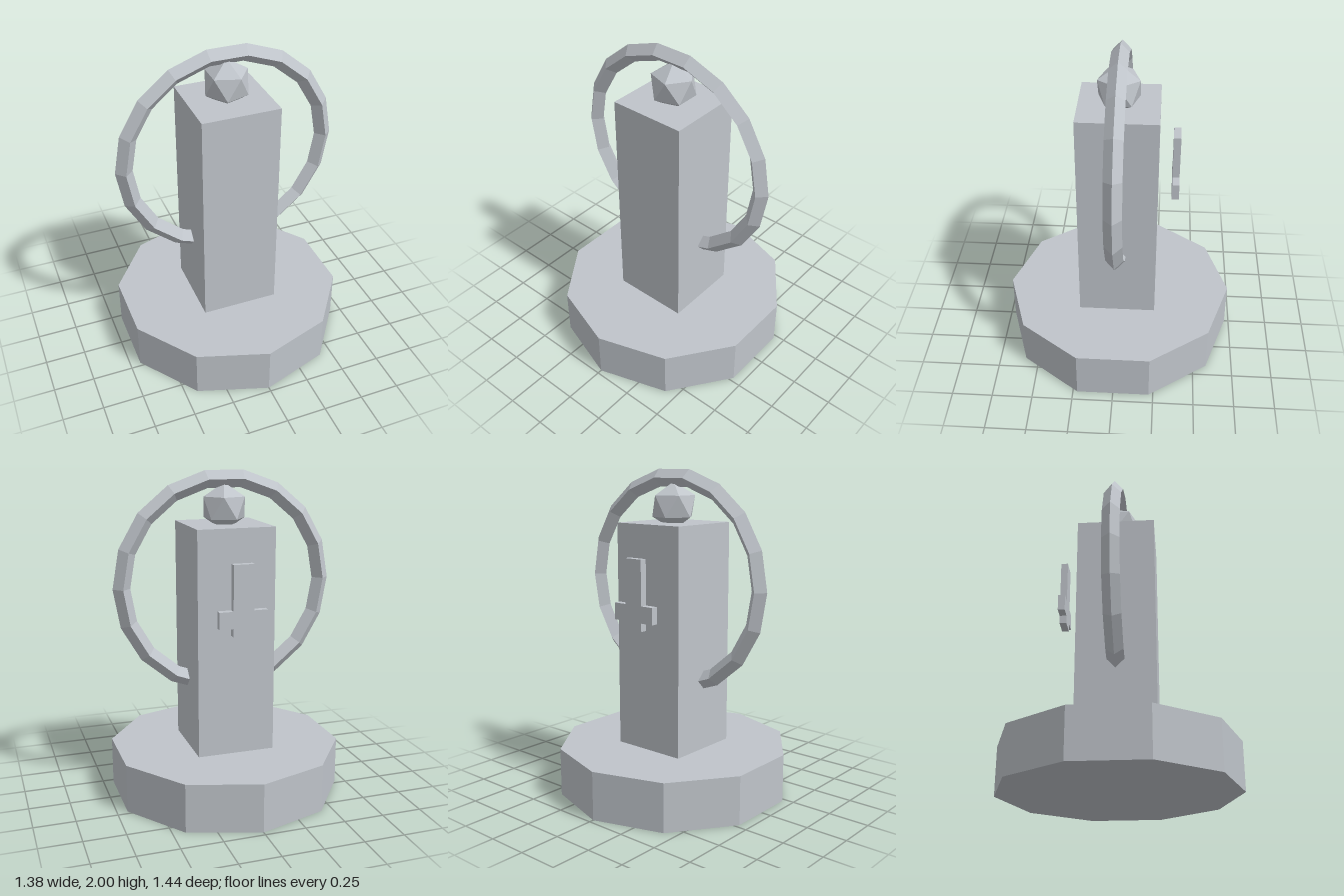
import * as THREE from 'three';

export function createModel() {
  const model = new THREE.Group();
  model.name = 'monument';

  const stone = new THREE.MeshStandardMaterial({ color: 0xbfc4ca, flatShading: true });
  stone.name = 'grey stone';

  const add = (name, geometry, x, y, z) => {
    const mesh = new THREE.Mesh(geometry, stone);
    mesh.name = name;
    mesh.position.set(x, y, z);
    model.add(mesh);
    return mesh;
  };

  // Ten-sided plinth and square pillar
  add('base', new THREE.CylinderGeometry(0.722, 0.722, 0.298, 10), 0, 0.149, 0);
  add('pillar', new THREE.BoxGeometry(0.48, 1.385, 0.48), 0, 0.9905, 0);

  // Faceted ball standing on one vertex, sunk slightly into the pillar
  const ball = new THREE.IcosahedronGeometry(0.145, 0);
  ball.rotateZ(-Math.atan(2 / (1 + Math.sqrt(5))));
  add('ball', ball, 0, 1.781, 0);

  // Upright ring with a diamond cross-section, passing through the pillar
  add('ring', new THREE.TorusGeometry(0.637, 0.053, 4, 18), 0, 1.32, 0);

  // Cross-shaped plate behind the pillar, short end down
  const half = [[0.063, 1.07], [0.063, 1.12], [0.148, 1.12], [0.148, 1.222], [0.063, 1.222], [0.063, 1.493]];
  const mirrored = half.map(([x, y]) => [-x, y]).reverse();
  const outline = new THREE.Shape([...half, ...mirrored].map(([x, y]) => new THREE.Vector2(x, y)));
  const plate = new THREE.ExtrudeGeometry(outline, { depth: 0.043, bevelEnabled: false });
  add('backCross', plate, 0, 0, -0.365);

  return model;
}
